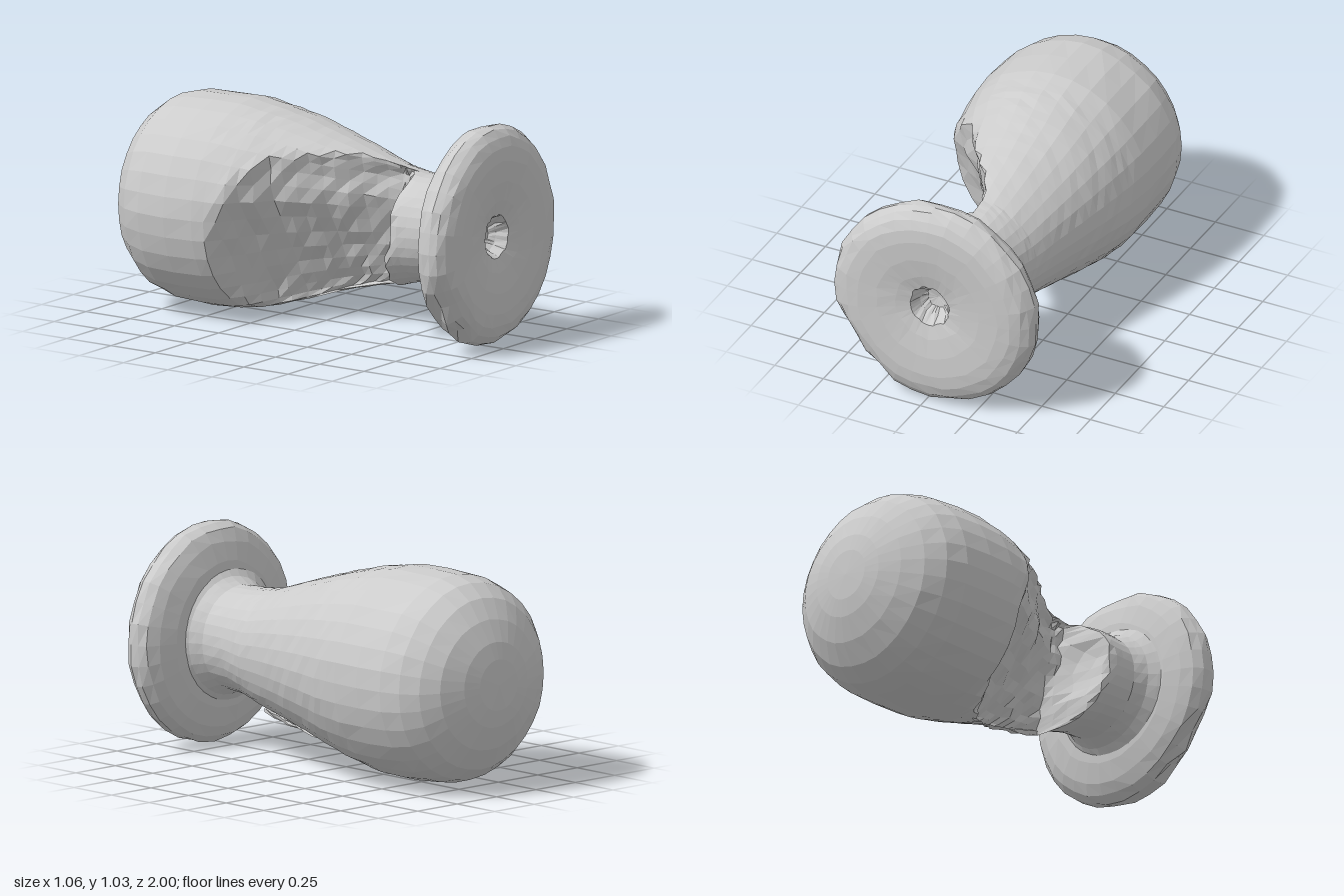
import * as THREE from 'three';

const SEG = 32;

// Repeatable unevenness in the range -1..1
const wobble = (i, j) => {
  const s = Math.sin(i * 127.1 + (j % SEG) * 311.7) * 43758.5453;
  return (s - Math.floor(s)) * 2 - 1;
};

// Linear lookup in a list of [key, value, value...] rows
function sample(rows, t) {
  let k = 0;
  while (k < rows.length - 2 && t > rows[k + 1][0]) k++;
  const a = rows[k], b = rows[k + 1];
  const f = THREE.MathUtils.clamp((t - a[0]) / (b[0] - a[0]), 0, 1);
  return a.map((v, n) => v + (b[n] - v) * f);
}

// Skin over rings stacked along z; point(i, j, angle) returns [x, y, z]
function loft(name, rings, point, material) {
  const pos = [], index = [];
  for (let i = 0; i < rings; i++) {
    for (let j = 0; j < SEG; j++) pos.push(...point(i, j, (j / SEG) * Math.PI * 2));
  }
  for (let i = 0; i < rings - 1; i++) {
    for (let j = 0; j < SEG; j++) {
      const a = i * SEG + j, b = i * SEG + (j + 1) % SEG;
      index.push(a, b, a + SEG, b, b + SEG, a + SEG);
    }
  }
  const geo = new THREE.BufferGeometry();
  geo.setAttribute('position', new THREE.Float32BufferAttribute(pos, 3));
  geo.setIndex(index);
  geo.computeVertexNormals();
  const mesh = new THREE.Mesh(geo, material);
  mesh.name = name;
  return mesh;
}

// Handle outline: z, half width, half height, centre x, centre y
const handle = [
  [-1, 0, 0, -0.02, 0.52], [-0.995, 0.12, 0.12, -0.02, 0.52], [-0.98, 0.2, 0.2, -0.015, 0.52],
  [-0.94, 0.31, 0.305, -0.01, 0.515], [-0.88, 0.395, 0.4, -0.02, 0.51], [-0.8, 0.455, 0.458, -0.026, 0.51],
  [-0.7, 0.484, 0.486, -0.028, 0.51], [-0.55, 0.492, 0.493, -0.03, 0.508], [-0.4, 0.487, 0.49, -0.025, 0.51],
  [-0.25, 0.465, 0.465, -0.02, 0.51], [-0.1, 0.42, 0.425, 0, 0.515], [0, 0.395, 0.395, 0.005, 0.515],
  [0.2, 0.335, 0.34, 0.015, 0.51], [0.4, 0.285, 0.285, 0.015, 0.5], [0.55, 0.25, 0.252, 0.015, 0.51],
  [0.68, 0.245, 0.245, 0.02, 0.515], [0.74, 0.275, 0.275, 0.02, 0.515], [0.8, 0.34, 0.35, 0.02, 0.515],
];

// Broken side: z, lowest x that is still there
const fracture = [
  [-0.34, -0.6], [-0.26, -0.5], [-0.235, -0.43], [-0.16, -0.37], [-0.14, -0.32], [-0.05, -0.27],
  [0, -0.23], [0.07, -0.19], [0.18, -0.12], [0.24, -0.07], [0.3, -0.03], [0.37, 0.01], [0.415, 0.015],
  [0.435, -0.06], [0.455, -0.15], [0.48, -0.21], [0.52, -0.235], [0.56, -0.3],
];

// Base disc with a dimpled front: z, radius
const base = [
  [0.765, 0.22], [0.775, 0.34], [0.798, 0.43], [0.825, 0.485], [0.865, 0.511], [0.905, 0.515],
  [0.94, 0.497], [0.967, 0.468], [0.985, 0.42], [0.991, 0.36], [0.986, 0.26], [0.972, 0.17],
  [0.955, 0.1], [0.9, 0.075], [0.87, 0.05], [0.86, 0],
];

export function createModel() {
  const group = new THREE.Group();
  const material = new THREE.MeshStandardMaterial({
    color: 0xcccccc, flatShading: true, side: THREE.DoubleSide,
  });

  // Ring positions: tight at the rounded end and through the break
  const zs = handle.slice(0, 9).map((r) => r[0]);
  zs.push(-0.34, -0.29, -0.25);
  for (let z = -0.21; z < 0.39; z += 0.05) zs.push(z);
  zs.push(0.4, 0.415, 0.435, 0.455, 0.48, 0.52, 0.56, 0.61, 0.68, 0.71, 0.74, 0.77, 0.8);

  // Bulbous handle with the broken-out side
  group.add(loft('brokenHandle', zs.length, (i, j, a) => {
    let z = zs[i];
    const [, w, h, cx, cy] = sample(handle, z);
    const k = 1 + 0.006 * wobble(i, j);
    let x = cx + w * k * Math.cos(a);
    const y = cy + h * k * Math.sin(a);
    if (z > -0.34 && z < 0.65) {
      let cut;
      if (z < 0.41) {
        // The break leans, running deeper along the lower edge of the bulb
        const lean = THREE.MathUtils.mapLinear(Math.max(z, 0.1), 0.1, 0.4, 0.6, 0.25);
        cut = sample(fracture, z)[1] + lean * Math.max(0, cy + 0.1 - y);
      } else {
        // The stump slopes away towards its upper edge
        cut = sample(fracture, Math.max(0.415, z - 0.35 * Math.max(0, y - cy)))[1];
      }
      if (x < cut) {
        x = cut + Math.min(0.025, (cut - x) * 0.2) + 0.012 * wobble(i + 50, j);
        // Shallow pocket sunk into the stump
        if (z > 0.41 && z < 0.5) {
          const d = Math.hypot(x + 0.08, y - 0.51) / 0.16;
          z += 0.05 * Math.max(0, 1 - d * d);
        }
      }
    }
    return [x, y, z];
  }, material));

  // Slightly tilted round foot with a small hole in its face
  group.add(loft('base', base.length, (i, j, a) => {
    const [z, r] = base[i];
    let k = r + (r > 0 ? 0.006 * wobble(i + 90, j) : 0);
    // Chipped lower edge
    if (i > 3 && i < 9 && a > 3.45 && a < 4.3) k -= 0.02 * (1 + wobble(i + 7, j));
    const x = k * Math.cos(a) * (Math.cos(a) < 0 ? 0.97 : 1);
    return [x + 0.02, 0.518 + k * Math.sin(a), z - 0.045 * x - 0.008];
  }, material));

  return group;
}
